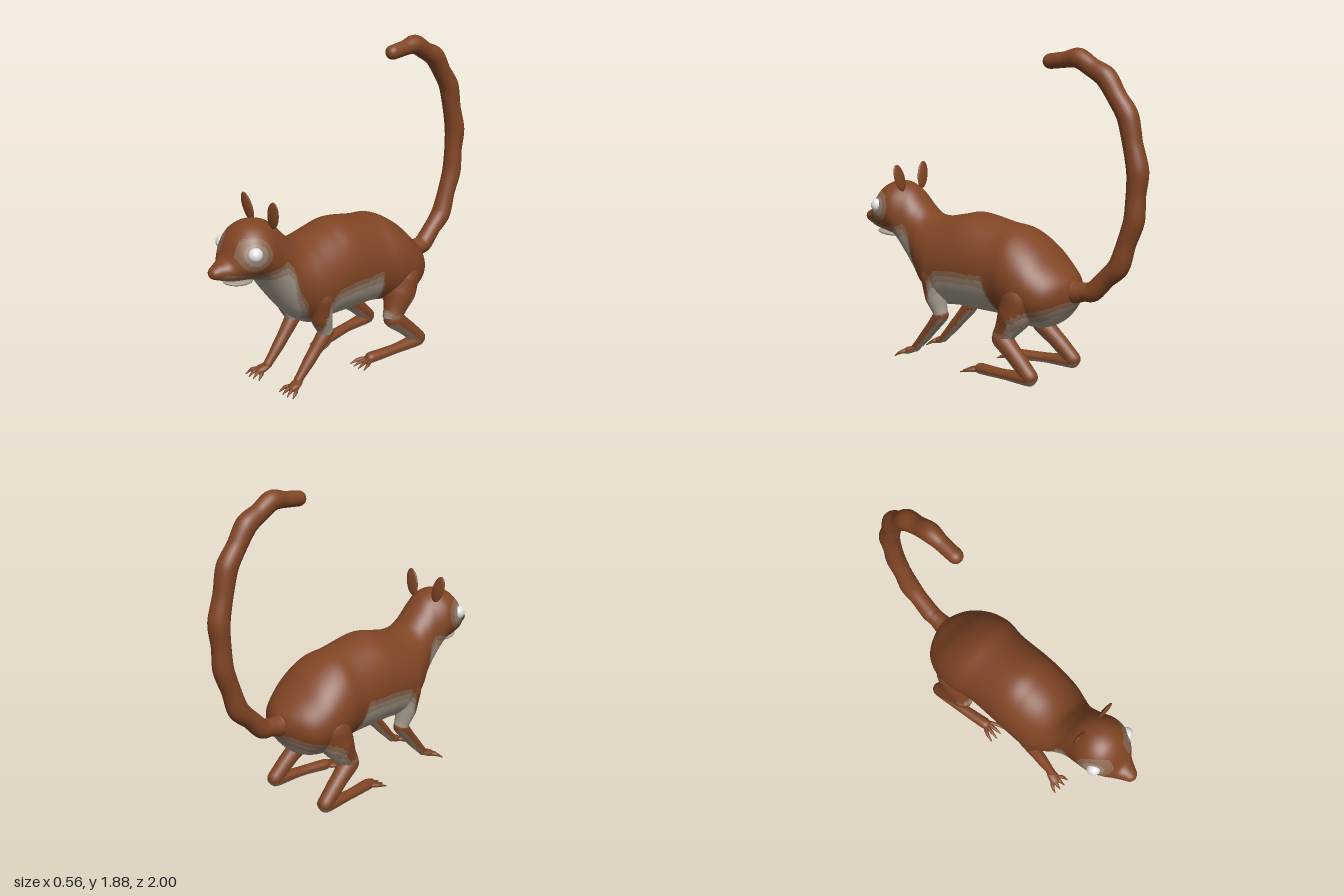
import * as THREE from 'three';

const mat = (name, color) => {
  const m = new THREE.MeshStandardMaterial({ color });
  m.name = name;
  return m;
};
const fur = [
  mat('brown fur', 0x804524), mat('light brown fur', 0x88644b),
  mat('tan fur', 0x96806c), mat('cream fur', 0xa59b8c),
];
const eyeWhite = mat('eye white', 0xe2e4e6);
const { lerp, smoothstep } = THREE.MathUtils;

// Skin over elliptical rings { c, u, v }, where u x v points along the path
function loft(rings, segs) {
  const pos = [], idx = [];
  for (const { c, u, v } of rings) {
    for (let j = 0; j < segs; j++) {
      const a = (j / segs) * Math.PI * 2;
      const p = c.clone().addScaledVector(u, Math.cos(a)).addScaledVector(v, Math.sin(a));
      pos.push(p.x, p.y, p.z);
    }
  }
  for (let i = 0; i < rings.length - 1; i++) {
    for (let j = 0; j < segs; j++) {
      const k = (j + 1) % segs, a = i * segs, b = a + segs;
      idx.push(a + j, a + k, b + j, a + k, b + k, b + j);
    }
  }
  const g = new THREE.BufferGeometry();
  g.setAttribute('position', new THREE.Float32BufferAttribute(pos, 3));
  g.setIndex(idx);
  g.computeVertexNormals();
  return g;
}

// Sort the triangles into fur colours by a paleness rule(centroid, normal)
function paint(g, rule) {
  const buckets = [[], [], [], []], ix = g.index.array;
  const P = g.attributes.position;
  const tri = new THREE.Triangle(), c = new THREE.Vector3(), n = new THREE.Vector3();
  for (let i = 0; i < ix.length; i += 3) {
    tri.setFromAttributeAndIndices(P, ix[i], ix[i + 1], ix[i + 2]);
    tri.getMidpoint(c);
    tri.getNormal(n);
    const v = rule(c, n);
    buckets[v < 0 ? 0 : v < 0.03 ? 1 : v < 0.07 ? 2 : 3].push(ix[i], ix[i + 1], ix[i + 2]);
  }
  g.setIndex(buckets.flat());
  let start = 0;
  buckets.forEach((b, m) => {
    if (b.length) g.addGroup(start, b.length, m);
    start += b.length;
  });
  return g;
}

// Tube through points [x, y, z, radius] with rounded ends
function limb(points, { segs = 20, steps = 8, tension = 0.4, flat = 1 } = {}) {
  const curve = new THREE.CatmullRomCurve3(
    points.map(p => new THREE.Vector3(p[0], p[1], p[2])), false, 'catmullrom', tension);
  const last = points.length - 1, n = last * steps, rings = [];
  const ring = (t, shift, scale) => {
    const i = Math.min(Math.floor(t * last), last - 1);
    const r = lerp(points[i][3], points[i + 1][3], smoothstep(t * last - i, 0, 1));
    const T = curve.getTangent(t);
    const u = new THREE.Vector3(1, 0, 0).addScaledVector(T, -T.x).normalize();
    const v = T.clone().cross(u);
    rings.push({
      c: curve.getPoint(t).addScaledVector(T, shift * r),
      u: u.multiplyScalar(r * scale), v: v.multiplyScalar(r * scale * flat),
    });
  };
  const cap = [0, 0.3, 0.6, 0.9, 1.2].map(a => [Math.cos(a), Math.sin(a)]);
  for (const [c, s] of cap) ring(0, -c, s);
  for (let i = 0; i <= n; i++) ring(i / n, 0, 1);
  for (const [c, s] of cap.reverse()) ring(1, c, s);
  return loft(rings, segs);
}

// Height of the pale underside along z, as seen on the flank
const paleLine = [
  [-0.6, 0.5], [-0.5, 0.46], [-0.35, 0.42], [-0.28, 0.38], [-0.23, 0.28], [-0.16, 0.3],
  [-0.11, 0.46], [-0.07, 0.6], [0.2, 0.6], [0.27, 0.59], [0.33, 0.53], [0.36, 0.36],
  [0.41, 0.4], [0.45, 0.53], [0.5, 0.62], [0.54, 0.77], [0.58, 0.82], [0.66, 0.8],
  [0.74, 0.78], [0.82, 0.8], [0.93, 0.81], [0.97, 0.79], [1.1, 0.78],
];
function bodyRule(p) {
  let i = 0;
  while (i < paleLine.length - 2 && p.z > paleLine[i + 1][0]) i++;
  const [z0, y0] = paleLine[i], [z1, y1] = paleLine[i + 1];
  const side = lerp(y0, y1, (p.z - z0) / (z1 - z0));
  const x = Math.abs(p.x);
  const line = lerp(Math.max(side, 0.48), side, smoothstep(x, 0.08, 0.17));
  const ring = x > 0.06 ? Math.min(0.09 - Math.hypot(p.y - 0.91, p.z - 0.79), 0.06) : -1;
  return Math.max(line - p.y, ring);
}
const limbRule = (p, n) => (-n.y - 0.3) * 0.2;

export function createModel() {
  const model = new THREE.Group();
  const add = (name, geo, material, parent = model) => {
    const m = new THREE.Mesh(geo, material);
    m.name = name;
    parent.add(m);
    return m;
  };

  // Body and head in one skin: z, bottom, top, half width
  const keys = [
    [-0.56, 0.53, 0.55, 0.005], [-0.54, 0.45, 0.6, 0.09], [-0.5, 0.385, 0.645, 0.17],
    [-0.44, 0.33, 0.7, 0.225], [-0.34, 0.3, 0.795, 0.262], [-0.22, 0.32, 0.865, 0.268],
    [-0.1, 0.34, 0.885, 0.248], [0.1, 0.345, 0.92, 0.248], [0.22, 0.35, 0.9, 0.248],
    [0.35, 0.345, 0.875, 0.238], [0.45, 0.41, 0.888, 0.2], [0.52, 0.48, 0.945, 0.167],
    [0.6, 0.58, 1.025, 0.158], [0.69, 0.7, 1.06, 0.17], [0.78, 0.735, 1.045, 0.162],
    [0.85, 0.745, 0.985, 0.125], [0.9, 0.757, 0.89, 0.082], [0.95, 0.775, 0.865, 0.052],
    [0.985, 0.79, 0.845, 0.033], [1, 0.81, 0.825, 0.004],
  ];
  const heights = new THREE.CatmullRomCurve3(
    keys.map(k => new THREE.Vector3(k[1], k[2], k[0])), false, 'catmullrom', 0.5);
  const widths = new THREE.CatmullRomCurve3(
    keys.map(k => new THREE.Vector3(k[3], 0, k[0])), false, 'catmullrom', 0.5);
  const rings = [];
  for (let i = 0; i <= 190; i++) {
    const h = heights.getPoint(i / 190), w = widths.getPoint(i / 190).x;
    const open = i === 0 || i === 190 ? 0 : 1;
    rings.push({
      c: new THREE.Vector3(0, (h.x + h.y) / 2, h.z),
      u: new THREE.Vector3(w * open, 0, 0),
      v: new THREE.Vector3(0, open * (h.y - h.x) / 2, 0),
    });
  }
  add('body', paint(loft(rings, 112), bodyRule), fur);

  // Lower jaw below a narrow mouth gap
  const jaw = add('lowerJaw', new THREE.SphereGeometry(1, 24, 14), fur[3]);
  jaw.scale.set(0.07, 0.018, 0.09);
  jaw.position.set(0, 0.73, 0.81);
  jaw.rotation.x = -0.1;

  // Tail, curling up and forward with a slight swelling at each joint
  const joints = [
    [0.54, -0.48, 0.075], [0.53, -0.56, 0.06], [0.55, -0.67, 0.056], [0.71, -0.83, 0.06],
    [0.97, -0.92, 0.058], [1.24, -0.937, 0.061], [1.53, -0.87, 0.06],
    [1.73, -0.735, 0.06], [1.83, -0.56, 0.056], [1.81, -0.375, 0.043],
  ];
  const tail = [];
  joints.forEach(([y, z, r], i) => {
    tail.push([0, y, z, r]);
    const b = joints[i + 1];
    if (b) tail.push([0, (y + b[0]) / 2, (z + b[1]) / 2, (r + b[2]) / 2 - 0.005]);
  });
  add('tail', limb(tail, { segs: 24 }), fur[0]);

  for (const s of [1, -1]) {
    const half = new THREE.Group();
    half.name = s > 0 ? 'leftSide' : 'rightSide';
    model.add(half);
    const leg = (name, pts, opts, rule = limbRule) =>
      add(name, paint(limb(pts.map(p => [p[0] * s, p[1], p[2], p[3]]), opts), rule), fur, half);

    // Eye and ear
    const eye = add('eye', new THREE.SphereGeometry(0.041, 24, 16), eyeWhite, half);
    eye.position.set(0.139 * s, 0.915, 0.795);
    const ear = add('ear', new THREE.SphereGeometry(1, 24, 16), fur[0], half);
    ear.scale.set(0.044, 0.085, 0.013);
    ear.position.set(0.108 * s, 1.09, 0.642);
    ear.rotation.set(0.12, 0, -0.28 * s);

    // Front leg
    leg('upperArm', [[0.165, 0.55, 0.34, 0.075], [0.15, 0.42, 0.335, 0.065],
      [0.143, 0.31, 0.3, 0.045]], {}, bodyRule);
    leg('forearm', [[0.143, 0.3, 0.297, 0.045], [0.137, 0.18, 0.4, 0.036],
      [0.135, 0.065, 0.505, 0.026]]);
    leg('frontPaw', [[0.137, 0.06, 0.5, 0.027], [0.148, 0.043, 0.55, 0.036]], { flat: 0.6 });

    // Hind leg
    leg('thigh', [[0.18, 0.5, -0.3, 0.1], [0.182, 0.4, -0.27, 0.1],
      [0.2, 0.27, -0.2, 0.062]], {}, bodyRule);
    leg('shin', [[0.205, 0.25, -0.195, 0.058], [0.215, 0.16, -0.3, 0.05],
      [0.222, 0.065, -0.4, 0.046]]);
    leg('hindFoot', [[0.222, 0.05, -0.395, 0.043], [0.21, 0.045, -0.2, 0.033],
      [0.185, 0.04, -0.03, 0.036]], { flat: 0.9 });

    // Fanned toes on both paws
    for (let i = 0; i < 4; i++) {
      const f = (i - 1.5) / 1.5, reach = 0.012 * Math.abs(f);
      const toe = (name, x, y, z, len) => leg(name, [
        [x + f * 0.025, y, z, 0.013], [x + f * 0.045, y - 0.004, z + len * 0.5 - reach, 0.011],
        [x + f * 0.058, 0.014, z + len - reach, 0.004]], { segs: 10, steps: 4 });
      toe('frontToe', 0.15, 0.04, 0.555, 0.065);
      toe('hindToe', 0.18, 0.032, -0.005, 0.095);
    }
  }
  return model;
}
